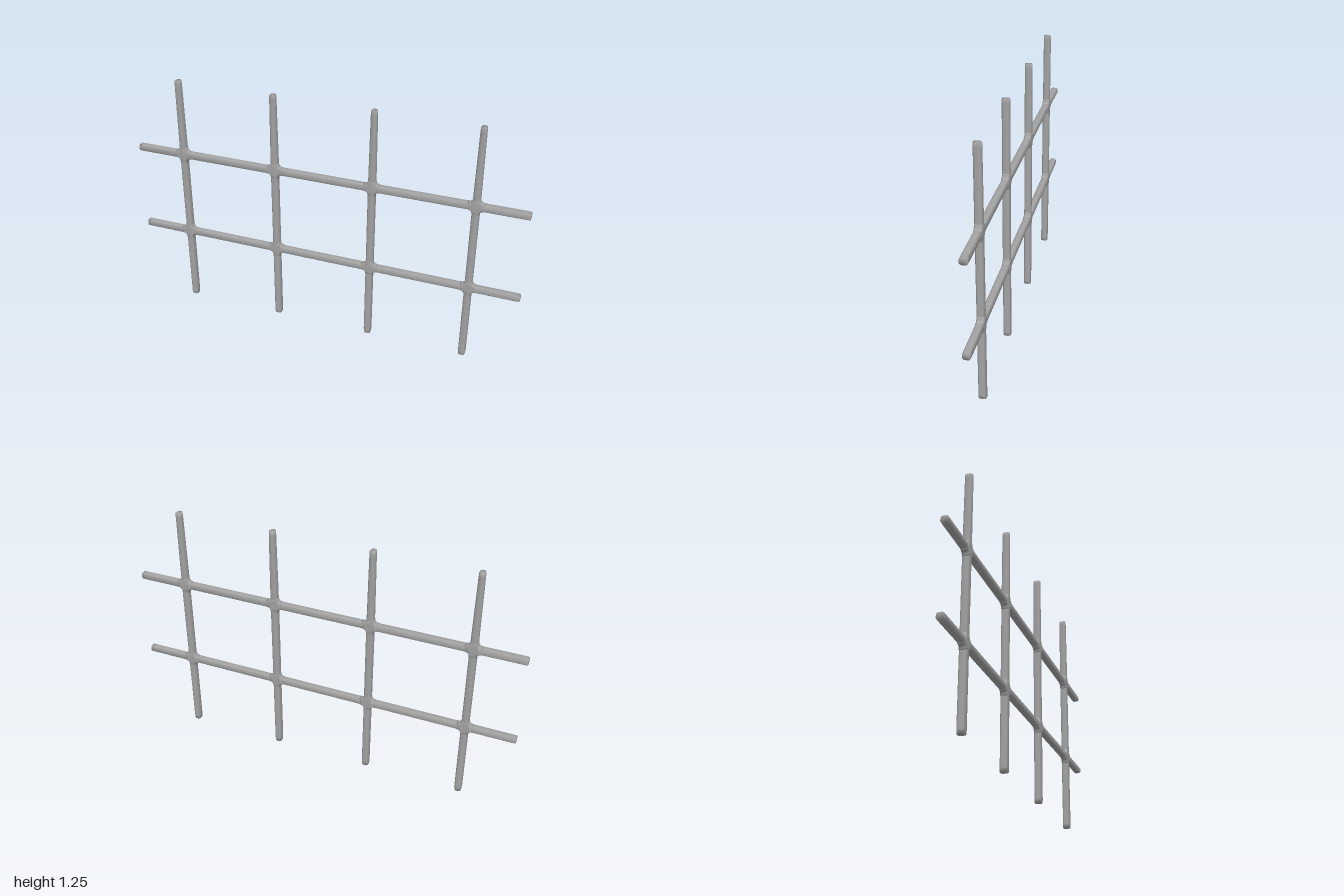
import * as THREE from 'three';
import { mergeVertices } from 'three/addons/utils/BufferGeometryUtils.js';

const HALF = 0.0175; // half thickness of every bar
const DEPTH = 0.018;

// Upright bar with chamfered square section, lofted through [y, half width] stations.
function barGeometry(stations) {
  const c = 0.007, pos = [], index = [], n = 8;
  for (const [y, w] of stations) {
    const d = DEPTH;
    const ring = [[w, d - c], [w - c, d], [c - w, d], [-w, d - c],
      [-w, c - d], [c - w, -d], [w - c, -d], [w, c - d]];
    for (const [x, z] of ring) pos.push(x, y, z);
  }
  for (let s = 0; s < stations.length - 1; s++) {
    for (let i = 0; i < n; i++) {
      const a = s * n + i, b = s * n + (i + 1) % n;
      index.push(a, a + n, b, b, a + n, b + n);
    }
  }
  // end caps
  const top = (stations.length - 1) * n;
  for (let i = 1; i < n - 1; i++) {
    index.push(0, i, i + 1);
    index.push(top, top + i + 1, top + i);
  }
  const g = new THREE.BufferGeometry();
  g.setAttribute('position', new THREE.Float32BufferAttribute(pos, 3));
  g.setIndex(index);
  g.computeVertexNormals();
  return g;
}

// Cross-shaped weld with concave fillets in its four corners.
function jointGeometry() {
  const r = 0.04, h = HALF, shape = new THREE.Shape();
  shape.moveTo(r, -h);
  shape.lineTo(r, h);
  shape.quadraticCurveTo(h, h, h, r);
  shape.lineTo(-h, r);
  shape.quadraticCurveTo(-h, h, -r, h);
  shape.lineTo(-r, -h);
  shape.quadraticCurveTo(-h, -h, -h, -r);
  shape.lineTo(h, -r);
  shape.quadraticCurveTo(h, -h, r, -h);
  const bevel = 0.006, depth = 2 * (DEPTH + 0.0005 - bevel);
  const g = new THREE.ExtrudeGeometry(shape, {
    depth, curveSegments: 5, bevelEnabled: true, bevelSegments: 1,
    bevelSize: bevel, bevelThickness: bevel, bevelOffset: -bevel,
  });
  g.translate(0, 0, -depth / 2);
  g.deleteAttribute('uv');
  g.deleteAttribute('normal');
  const smooth = mergeVertices(g, 1e-5);
  smooth.computeVertexNormals();
  return smooth;
}

export function createModel() {
  const metal = new THREE.MeshStandardMaterial({ color: 0xa3a3a3 });
  metal.name = 'grey metal';
  const group = new THREE.Group();
  group.name = 'barLattice';
  const add = (geometry, name, x, y) => {
    const mesh = new THREE.Mesh(geometry, metal);
    mesh.name = name;
    mesh.position.set(x, y, 0);
    group.add(mesh);
    return mesh;
  };

  const columns = [-0.75, -0.25, 0.25, 0.75];
  const rows = [0.4025, 0.8525];
  // uprights taper slightly above the upper rail
  const upright = barGeometry([[0, HALF - 0.002], [0.02, HALF], [0.87, HALF], [1.23, 0.014], [1.25, 0.013]]);
  const rail = barGeometry([[-1, HALF - 0.001], [-0.98, HALF], [0.98, HALF], [1, HALF - 0.001]]);
  const joint = jointGeometry();

  for (const x of columns) add(upright, 'upright', x, 0);
  for (const y of rows) {
    add(rail, 'rail', 0, y).rotation.z = Math.PI / 2;
    for (const x of columns) add(joint, 'weldedJoint', x, y);
  }
  return group;
}
